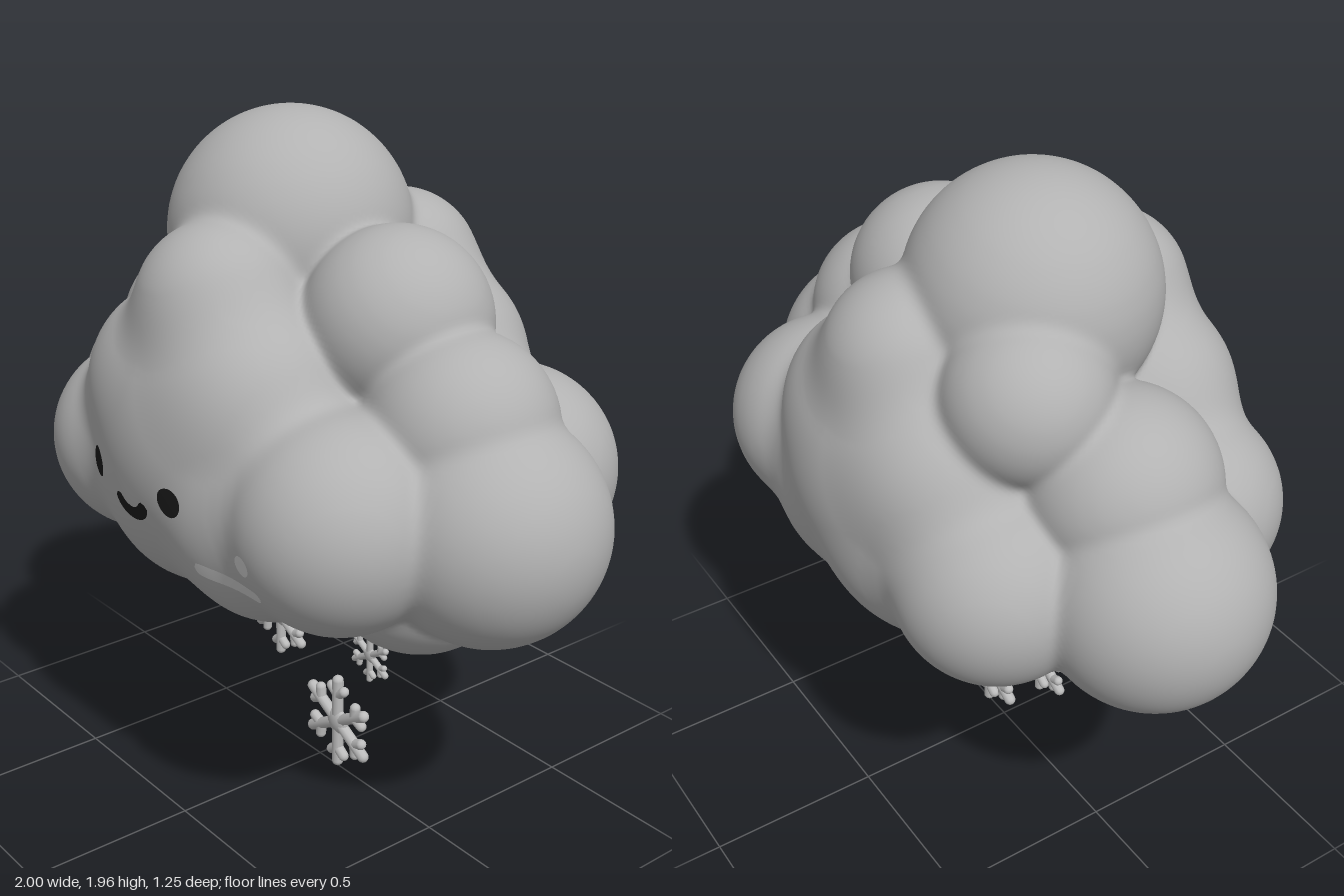
import * as THREE from 'three';
import { mergeGeometries, mergeVertices } from 'three/addons/utils/BufferGeometryUtils.js';

const mat = (name, color) => Object.assign(new THREE.MeshStandardMaterial({ color }), { name });

// Round puffs along the middle of the cloud: x, y, z, radius
const MIDDLE = [
  [-0.13, 1.62, 0, 0.34], [-0.69, 1.01, 0, 0.31], [0.69, 1.01, 0, 0.31],
  [-0.53, 1.25, 0, 0.265], [0.57, 1.24, 0, 0.255], [0.32, 1.46, 0, 0.255],
  [-0.36, 1.48, -0.17, 0.225],
  [-0.36, 0.85, 0, 0.28], [0.06, 0.84, 0, 0.29], [0.43, 0.85, 0, 0.28],
];
// Puffs of the soft front bank, mirrored to the back
const BANK = [
  [-0.42, 1.005, 0.30, 0.28], [0.46, 1.025, 0.30, 0.29],
  [-0.12, 0.95, 0.30, 0.27], [0.20, 0.95, 0.30, 0.28],
  [-0.22, 1.25, 0.32, 0.24], [0.13, 1.28, 0.32, 0.235], [-0.03, 1.48, 0.31, 0.23],
];

const smin = (a, b, k) => {
  const h = Math.max(k - Math.abs(a - b), 0) / k;
  return Math.min(a, b) - h * h * k * 0.25;
};
const ball = (x, y, z, [cx, cy, cz, r]) => Math.hypot(x - cx, y - cy, z - cz) - r;

// Wide belly that fills the bank between its puffs
function belly(x, y, z) {
  const [a, b, c] = [(x + 0.02) / 0.44, (y - 1.13) / 0.42, (z - 0.3) / 0.325];
  const k0 = Math.hypot(a, b, c);
  const k1 = Math.hypot(a / 0.44, b / 0.42, c / 0.325);
  return k1 < 1e-6 ? -0.3 : (k0 * (k0 - 1)) / k1;
}

// Distance to the whole blended cloud
function cloudField(x, y, z) {
  let bank = belly(x, y, Math.abs(z));
  for (const p of BANK) bank = smin(bank, ball(x, y, Math.abs(z), p), 0.08);
  let mid = 10;
  for (const p of MIDDLE) mid = smin(mid, ball(x, y, z, p), 0.025);
  return smin(bank, mid, 0.03);
}

// Shrink a dense sphere inward until it rests on the puffs
function cloudGeometry() {
  let g = new THREE.IcosahedronGeometry(1, 60);
  g.deleteAttribute('uv');
  g.deleteAttribute('normal');
  g = mergeVertices(g);
  const pos = g.attributes.position;
  const v = new THREE.Vector3();
  for (let i = 0; i < pos.count; i++) {
    v.fromBufferAttribute(pos, i).normalize();
    let r = 1.25;
    for (let n = 0; n < 80; n++) {
      const d = cloudField(v.x * r, 1.1 + v.y * r, v.z * r);
      if (d < 0.0005) break;
      r -= d * 0.8;
    }
    pos.setXYZ(i, v.x * r, 1.1 + v.y * r, v.z * r);
  }
  g.computeVertexNormals();
  return g;
}

// Lay a flat shape on the front of the cloud
function drape(g) {
  const pos = g.attributes.position;
  for (let i = 0; i < pos.count; i++) {
    const x = pos.getX(i), y = pos.getY(i);
    let z = 0.8;
    for (let n = 0; n < 60; n++) z -= cloudField(x, y, z) * 0.8;
    pos.setZ(i, z + 0.005);
  }
  g.computeVertexNormals();
  return g;
}

const spot = (x, y, rx, ry) =>
  drape(new THREE.CircleGeometry(1, 24).scale(rx, ry, 1).translate(x, y, 0));

// Rounded stroke through a few points
function stroke(points, width) {
  const curve = new THREE.SplineCurve(points.map(p => new THREE.Vector2(...p)));
  const g = new THREE.PlaneGeometry(1, 1, 24, 2);
  const pos = g.attributes.position;
  for (let i = 0; i < pos.count; i++) {
    const t = pos.getX(i) + 0.5;
    const p = curve.getPoint(t), d = curve.getTangent(t);
    const s = pos.getY(i) * width * Math.sqrt(Math.max(0, 1 - (2 * t - 1) ** 8));
    pos.setXY(i, p.x - d.y * s, p.y + d.x * s);
  }
  return drape(g);
}

// Six-armed snowflake of unit radius with forked, rounded tips
function snowflakeGeometry() {
  const parts = [new THREE.SphereGeometry(0.27, 16, 10).scale(1, 1, 0.5)];
  for (let i = 0; i < 6; i++) {
    const arm = [new THREE.CapsuleGeometry(0.115, 0.8, 5, 10).translate(0, 0.48, 0)];
    for (const side of [-1, 1]) {
      arm.push(new THREE.CapsuleGeometry(0.105, 0.22, 5, 10)
        .translate(0, 0.11, 0).rotateZ(-side * 0.95).translate(0, 0.58, 0));
    }
    arm.forEach(g => parts.push(g.rotateZ(i * Math.PI / 3)));
  }
  return mergeGeometries(parts);
}

export function createModel() {
  const model = new THREE.Group();
  const cloudGrey = mat('cloudGrey', 0xb2b2b2);
  const snowGrey = mat('snowGrey', 0xbcbcbc);
  const faceBlack = mat('faceBlack', 0x1a1a1a);
  const shineGrey = mat('shineGrey', 0xd0d0d0);
  const add = (name, geometry, material) => {
    const mesh = new THREE.Mesh(geometry, material);
    mesh.name = name;
    model.add(mesh);
    return mesh;
  };

  add('cloud', cloudGeometry(), cloudGrey);

  // Face
  add('rightEye', spot(-0.22, 1.05, 0.038, 0.044), faceBlack);
  add('leftEye', spot(0.14, 1.05, 0.041, 0.04), faceBlack);
  add('smile', stroke([[-0.09, 1.01], [-0.065, 0.98], [-0.025, 0.968], [0.01, 0.98], [0.035, 1.01]], 0.038), faceBlack);

  // Pale highlights
  add('shineDot', spot(0.43, 0.975, 0.03, 0.028), shineGrey);
  add('shineBar', stroke([[0.215, 0.89], [0.34, 0.89], [0.475, 0.895]], 0.038), shineGrey);

  // Falling snowflakes: x, y, radius
  const flake = snowflakeGeometry();
  for (const [x, y, r] of [[-0.195, 0.4, 0.133], [0.23, 0.443, 0.088], [0.085, 0.157, 0.155]]) {
    const mesh = add('snowflake', flake, snowGrey);
    mesh.position.set(x, y, 0);
    mesh.scale.setScalar(r);
  }
  return model;
}
